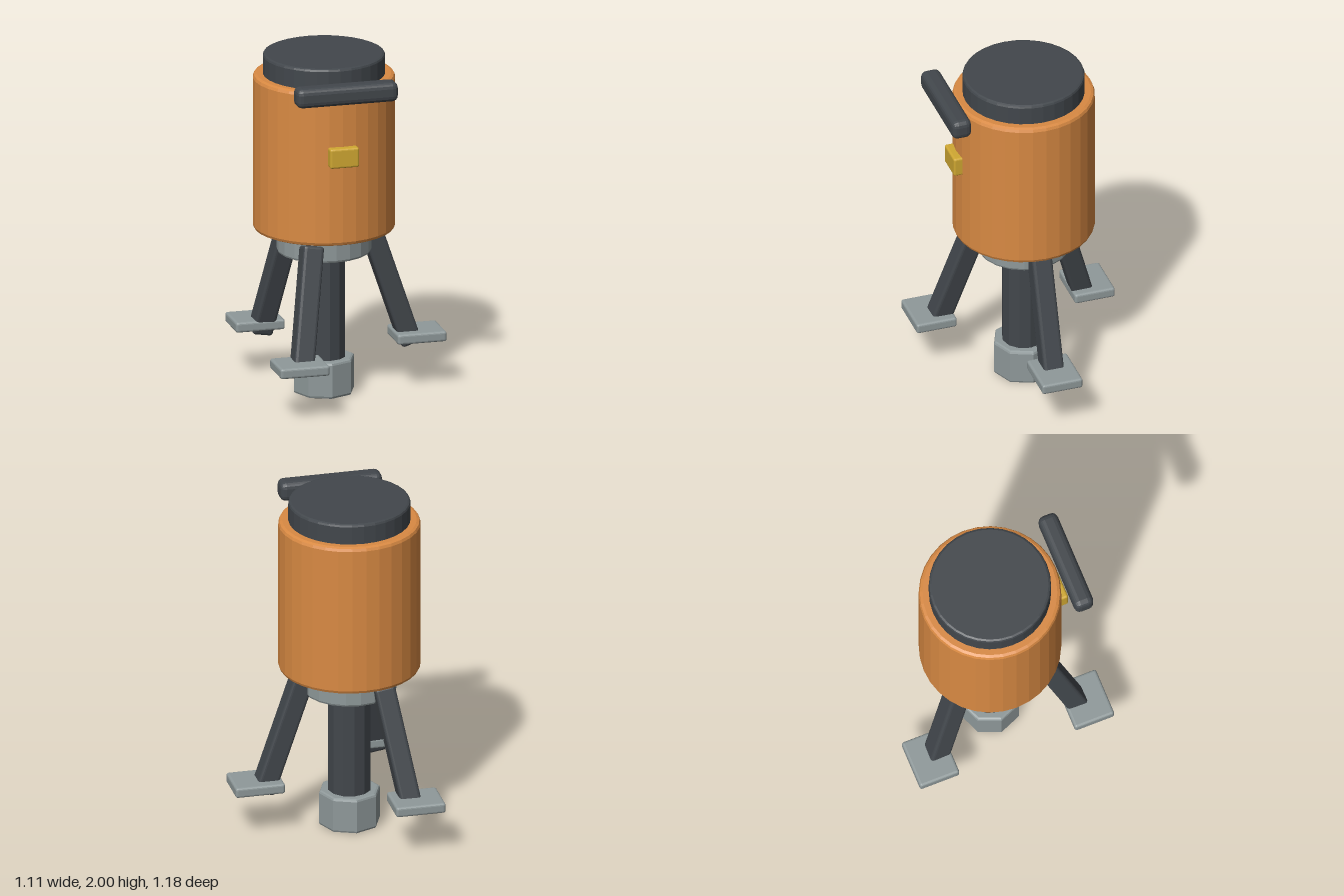
import * as THREE from 'three';
import { RoundedBoxGeometry } from 'three/addons/geometries/RoundedBoxGeometry.js';

const material = (name, color) => {
  const m = new THREE.MeshStandardMaterial({ color, flatShading: true });
  m.name = name;
  return m;
};

export function createModel() {
  const orange = material('orange paint', 0xd98a43);
  const dark = material('dark rubber', 0x42474c);
  const grey = material('grey metal', 0x8f999a);
  const yellow = material('yellow button', 0xd0a832);

  const model = new THREE.Group();
  model.name = 'device';
  const axisX = -0.14; // vertical axis of the body

  const add = (name, geometry, mat, x, y, z) => {
    const mesh = new THREE.Mesh(geometry, mat);
    mesh.name = name;
    mesh.position.set(x, y, z);
    model.add(mesh);
    return mesh;
  };

  // Upright cylinder with chamfered rims
  const drum = (name, mat, radius, y0, y1, bevel, sides) => {
    const profile = [
      [0, y0], [radius - bevel, y0], [radius - bevel * 0.3, y0 + bevel * 0.3], [radius, y0 + bevel],
      [radius, y1 - bevel], [radius - bevel * 0.3, y1 - bevel * 0.3], [radius - bevel, y1], [0, y1],
    ].map(([r, y]) => new THREE.Vector2(r, y));
    return add(name, new THREE.LatheGeometry(profile, sides), mat, axisX, 0, 0);
  };
  const block = (name, mat, w, h, d, bevel, x, y, z) =>
    add(name, new RoundedBoxGeometry(w, h, d, 2, bevel), mat, x, y, z);

  // Central stack
  drum('foot', grey, 0.177, 0, 0.212, 0.015, 8);
  drum('piston', dark, 0.124, 0.15, 0.9, 0.01, 12);
  drum('collar', grey, 0.268, 0.83, 1.0, 0.015, 20);
  drum('body', orange, 0.403, 0.97, 1.88, 0.022, 32);
  drum('lid', dark, 0.346, 1.8, 2.0, 0.015, 32);

  // Handle and button on the front
  block('handle', dark, 0.595, 0.115, 0.115, 0.035, axisX, 1.888, 0.463);
  block('button', yellow, 0.17, 0.115, 0.085, 0.012, axisX, 1.5, 0.402);

  // Three splayed legs with square pads
  const up = new THREE.Vector3(0, 1, 0);
  for (let i = 0; i < 3; i++) {
    const a = (i * Math.PI * 2) / 3;
    const at = (r, y) => new THREE.Vector3(axisX + r * Math.cos(a), y, r * Math.sin(a));
    const top = at(0.273, 0.935), bottom = at(0.505, 0.25);
    const mid = top.clone().add(bottom).multiplyScalar(0.5);
    const leg = block('leg', dark, 0.12, top.distanceTo(bottom), 0.12, 0.018, mid.x, mid.y, mid.z);
    leg.quaternion.setFromUnitVectors(up, top.clone().sub(bottom).normalize());
    const pad = at(0.545, 0.3);
    block('pad', grey, 0.288, 0.06, 0.24, 0.014, pad.x, pad.y, pad.z);
  }
  return model;
}
